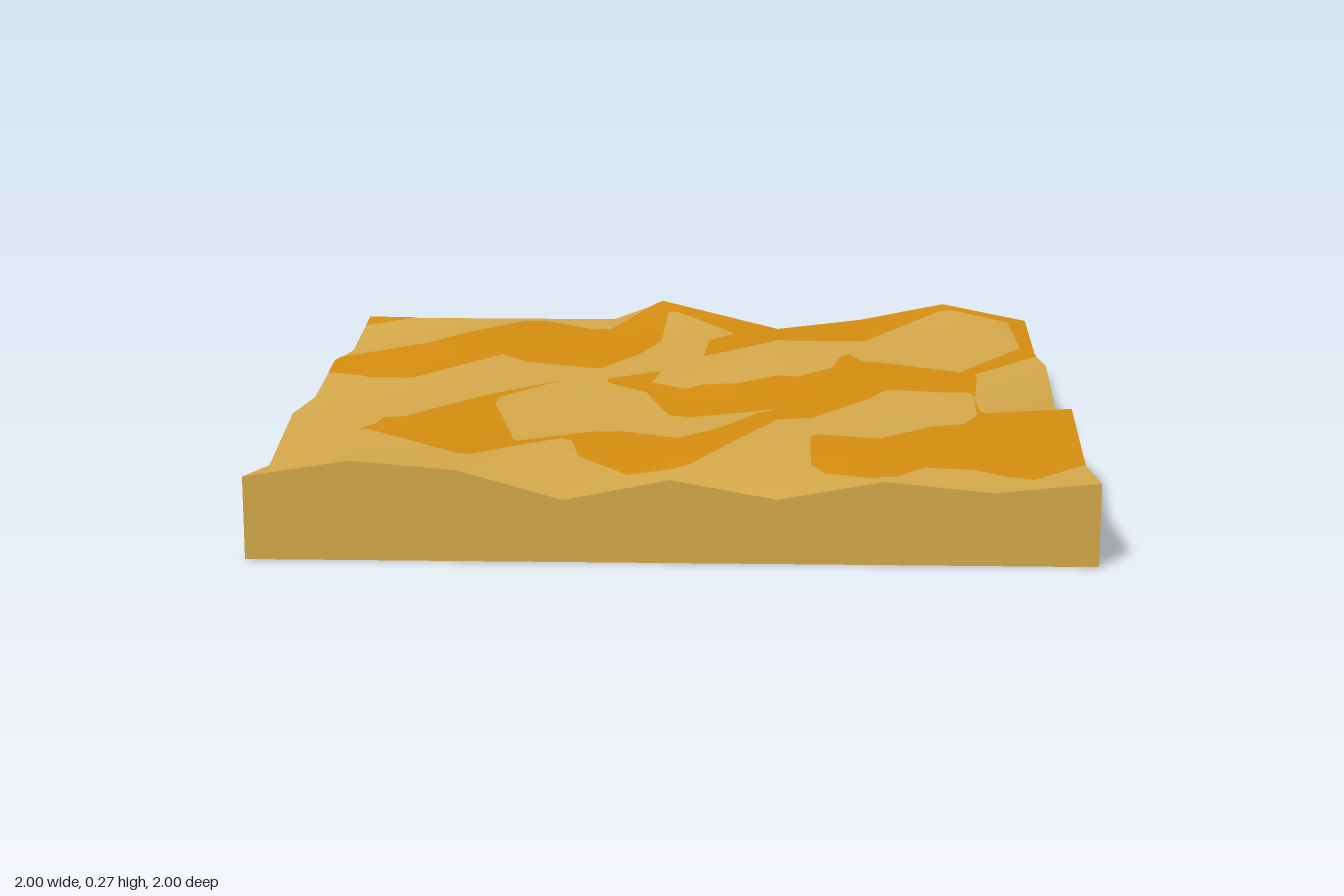
import * as THREE from 'three';

// Terrain heights: rows run back (z = -1) to front, columns run x = -1 to 1
const H = [
  [.20, .20, .20, .20, .255, .17, .20, .25, .20],
  [.165, .20, .25, .19, .20, .20, .20, .22, .165],
  [.20, .24, .19, .18, .21, .27, .20, .17, .20],
  [.17, .18, .18, .235, .18, .18, .19, .22, .13],
  [.20, .18, .25, .18, .19, .21, .17, .21, .225],
  [.145, .245, .18, .225, .17, .245, .21, .18, .163],
  [.20, .24, .22, .15, .20, .155, .20, .175, .20],
];
const NX = 8, NZ = 6;

// Outlines of the darker sand patches as x, z pairs
const PATCHES = {
  cornerPatch: [-1, -1, -.85, -1, -1, -.91],
  backPatch: [-.12, -1, -.3, -.79, -.65, -.69, -.75, -.52, -1, -.44, -1, -.22, -.87, -.12, -.75, -.11,
    -.53, -.4, -.5, -.39, -.25, -.34, -.15, -.5, -.09, -.67, -.08, -.9, -.05, -.92, .12, -.84, .05, -.67,
    .04, -.38, .08, -.39, .35, -.57, .5, -.66, .73, -.92, .78, -.95, .94, -.94, .96, -.69, 1, -.69, 1, -1],
  middlePatch: [.96, -.69, 1, -.69, 1, -.6, .8, -.3, .79, -.1, .77, .12, .67, .06, .54, -.02, .04, .85,
    0, .85, -.23, .77, -.25, .7, -.38, .69, -.48, .71, -.8, .7, -.85, .76, -.88, .75, -.88, .68, -.8, .5,
    -.77, .3, -.7, .27, -.55, .15, -.33, .11, -.37, .17, -.47, .33, -.47, .37, -.4, .56, -.25, .64,
    -.14, .55, 0, .5, .1, .44, .25, .27, .02, .31, -.03, .28, -.07, .1, -.1, .04, -.2, .03, -.21, .01,
    -.07, -.17, -.09, -.05, .14, -.07, .3, -.14, .4, -.25, .45, -.41, .48, -.36, .76, -.36],
  frontPatch: [.765, .11, .77, .27, .8, .3, 1, .3, 1, .68, .86, .86, .8, .85, .72, .81, .6, .84, .53, .95,
    .48, .97, .33, .82, .33, .68, .45, .6, .72, .43, .76, .34],
};

const gridPoint = (i, j) => new THREE.Vector3(
  i === 4 && j === 0 ? -.1 : -1 + 2 * i / NX, H[j][i], -1 + 2 * j / NZ);

function geometryFrom(positions, index, normals) {
  const g = new THREE.BufferGeometry();
  g.setAttribute('position', new THREE.Float32BufferAttribute(positions, 3));
  if (index) g.setIndex(index);
  if (normals) g.setAttribute('normal', new THREE.Float32BufferAttribute(normals, 3));
  else g.computeVertexNormals();
  return g;
}

// Smooth rolling top surface
function terrainGeometry() {
  const pos = [], idx = [];
  for (let j = 0; j <= NZ; j++)
    for (let i = 0; i <= NX; i++) pos.push(...gridPoint(i, j).toArray());
  for (let j = 0; j < NZ; j++)
    for (let i = 0; i < NX; i++) {
      const a = j * (NX + 1) + i, b = a + NX + 1;
      idx.push(a, b, a + 1, b, b + 1, a + 1);
    }
  return geometryFrom(pos, idx);
}

// Vertical wall below a row of rim points given left to right as seen from outside
function wallGeometry(rim) {
  const pos = [];
  for (let k = 0; k + 1 < rim.length; k++) {
    const p = rim[k], q = rim[k + 1];
    pos.push(p.x, 0, p.z, q.x, 0, q.z, q.x, q.y, q.z, p.x, 0, p.z, q.x, q.y, q.z, p.x, p.y, p.z);
  }
  return geometryFrom(pos);
}

const cross = (a, b, p) => (b.x - a.x) * (p.y - a.y) - (b.y - a.y) * (p.x - a.x);

// Part of a convex polygon that lies inside a triangle
function clip(poly, tri) {
  for (let k = 0; k < 3 && poly.length; k++) {
    const a = tri[k], b = tri[(k + 1) % 3], out = [];
    poly.forEach((p, n) => {
      const q = poly[(n + 1) % poly.length], cp = cross(a, b, p), cq = cross(a, b, q);
      if (cp <= 0) out.push(p);
      if (cp * cq < 0) out.push(p.clone().lerp(q, cp / (cp - cq)));
    });
    poly = out;
  }
  return poly;
}

// Flat outline draped over the terrain, following its slopes and normals
function drapedGeometry(flat, terrain) {
  const outline = [];
  for (let k = 0; k < flat.length; k += 2) outline.push(new THREE.Vector2(flat[k], flat[k + 1]));
  if (THREE.ShapeUtils.isClockWise(outline)) outline.reverse();
  const ears = THREE.ShapeUtils.triangulateShape(outline, []).map(f => {
    const t = f.map(n => outline[n]);
    return cross(...t) > 0 ? t.reverse() : t;
  });
  const P = terrain.attributes.position, N = terrain.attributes.normal, idx = terrain.index.array;
  const pos = [], nor = [];
  for (let k = 0; k < idx.length; k += 3) {
    const ids = [idx[k], idx[k + 1], idx[k + 2]];
    const tri = ids.map(n => new THREE.Vector2(P.getX(n), P.getZ(n)));
    const area = cross(...tri);
    const add = p => {
      const w = [cross(tri[1], tri[2], p), cross(tri[2], tri[0], p), cross(tri[0], tri[1], p)].map(v => v / area);
      const mix = get => w.reduce((s, v, n) => s + v * get(ids[n]), 0);
      pos.push(p.x, mix(n => P.getY(n)) + .003, p.y);
      nor.push(...new THREE.Vector3(mix(n => N.getX(n)), mix(n => N.getY(n)), mix(n => N.getZ(n))).normalize().toArray());
    };
    for (const ear of ears) {
      const c = clip(ear, tri);
      for (let n = 1; n + 1 < c.length; n++) [c[0], c[n], c[n + 1]].forEach(add);
    }
  }
  return geometryFrom(pos, null, nor);
}

export function createModel() {
  const sand = new THREE.MeshStandardMaterial({ color: 0xd6aa4b });
  sand.name = 'sand';
  const ochre = new THREE.MeshStandardMaterial({ color: 0xd68e10 });
  ochre.name = 'ochre';

  const model = new THREE.Group();
  model.name = 'desertTile';
  const add = (name, geometry, material) => {
    const mesh = new THREE.Mesh(geometry, material);
    mesh.name = name;
    model.add(mesh);
    return mesh;
  };

  const terrain = terrainGeometry();
  add('duneSurface', terrain, sand);

  // Side walls
  const cols = [...Array(NX + 1).keys()], rows = [...Array(NZ + 1).keys()];
  add('frontWall', wallGeometry(cols.map(i => gridPoint(i, NZ))), sand);
  add('backWall', wallGeometry(cols.map(i => gridPoint(NX - i, 0))), sand);
  add('leftWall', wallGeometry(rows.map(j => gridPoint(NX, NZ - j))), sand);
  add('rightWall', wallGeometry(rows.map(j => gridPoint(0, j))), sand);

  // Underside
  add('underside', new THREE.PlaneGeometry(2, 2).rotateX(Math.PI / 2), sand);

  // Darker patches on the dunes
  for (const [name, outline] of Object.entries(PATCHES)) add(name, drapedGeometry(outline, terrain), ochre);

  // Patch spilling over the top of the back wall
  const spill = new THREE.Shape([[-1, .13], [-.25, .17], [-.5, .2], [-.75, .25], [-1, .2]]
    .map(([x, y]) => new THREE.Vector2(x, y)));
  add('backWallPatch', new THREE.ShapeGeometry(spill).rotateY(Math.PI), ochre).position.z = -1.002;

  return model;
}
